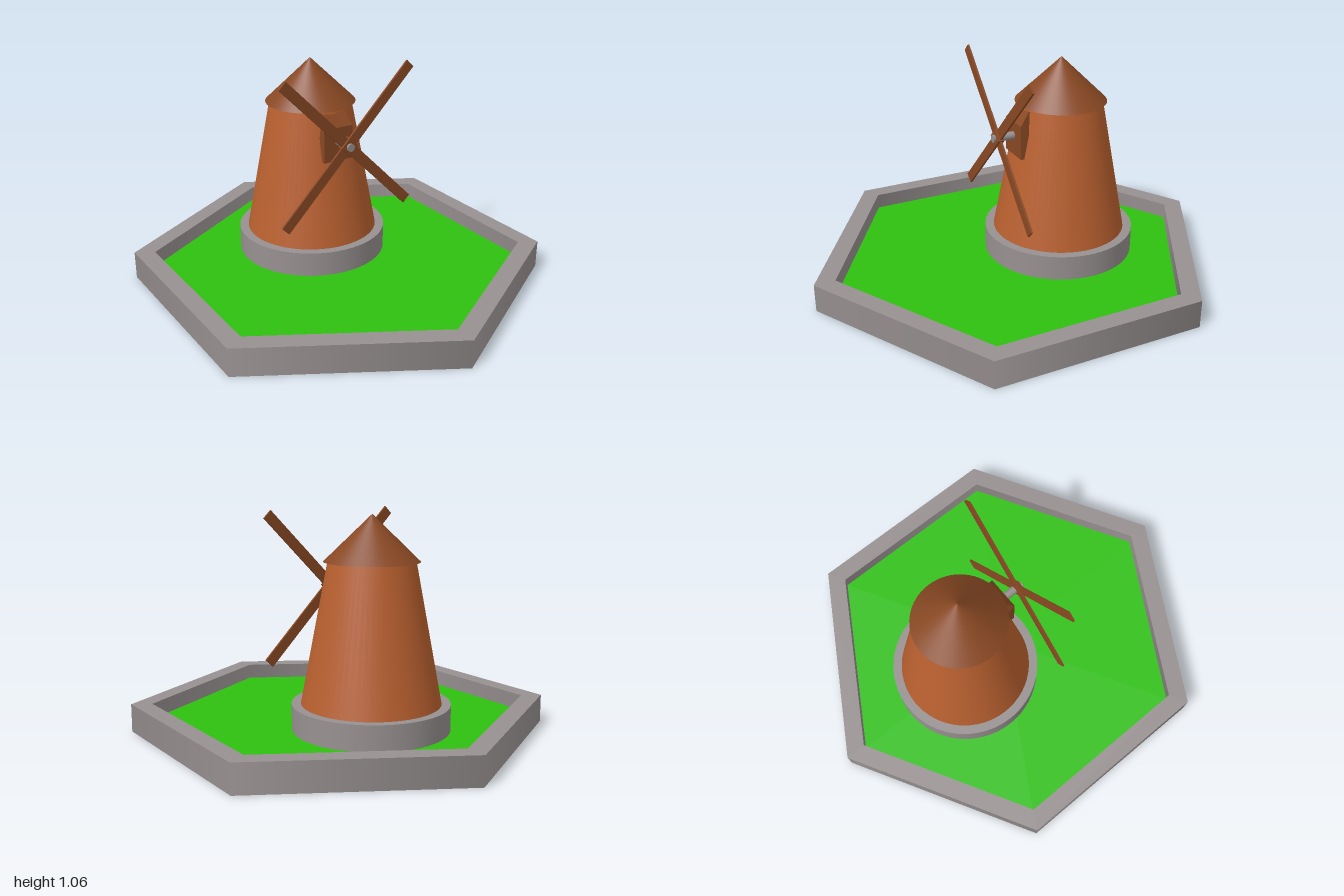
import * as THREE from 'three';

const paint = (name, color) => {
  const m = new THREE.MeshStandardMaterial({ color, side: THREE.DoubleSide });
  m.name = name;
  return m;
};

export function createModel() {
  const stone = paint('stone grey', 0x979090);
  const grassGreen = paint('grass green', 0x2fc010);
  const clay = paint('clay orange', 0xb9602f);
  const wood = paint('wood brown', 0x884823);
  const black = paint('underside black', 0x050505);

  const model = new THREE.Group();
  model.name = 'windmill';
  const add = (parent, name, geometry, material, x = 0, y = 0, z = 0) => {
    const mesh = new THREE.Mesh(geometry, material);
    mesh.name = name;
    mesh.position.set(x, y, z);
    parent.add(mesh);
    return mesh;
  };

  // Hexagonal tray: outer wall, flat rim, inner wall, recessed lawn, underside
  const H = 0.135, lawnY = 0.06, hexStart = Math.PI / 2;
  add(model, 'trayOuterWall', new THREE.CylinderGeometry(1, 1, H, 6, 1, true), stone, 0, H / 2, 0);
  add(model, 'trayRim', new THREE.RingGeometry(0.9, 1, 6, 1, hexStart).rotateX(-Math.PI / 2), stone, 0, H, 0);
  add(model, 'trayInnerWall', new THREE.CylinderGeometry(0.9, 0.9, H - lawnY, 6, 1, true), stone, 0, (H + lawnY) / 2, 0);
  add(model, 'lawn', new THREE.CircleGeometry(0.9, 6, hexStart).rotateX(-Math.PI / 2), grassGreen, 0, lawnY, 0);
  add(model, 'trayUnderside', new THREE.CircleGeometry(1, 6, hexStart).rotateX(Math.PI / 2), black);

  // Tower on its round plinth
  const mill = new THREE.Group();
  mill.name = 'mill';
  mill.position.z = -0.25;
  model.add(mill);
  add(mill, 'plinth', new THREE.CylinderGeometry(0.367, 0.367, 0.12, 64), stone, 0, 0.12, 0);
  add(mill, 'tower', new THREE.CylinderGeometry(0.2, 0.325, 0.66, 64), clay, 0, 0.505, 0);
  add(mill, 'roof', new THREE.ConeGeometry(0.22, 0.213, 64), wood, 0, 0.9385, 0);

  // Shaft housing: side profile (z, y) extruded across x, narrowed at the top
  const profile = new THREE.Shape([
    [-0.13, 0.595], [0, 0.595], [0, 0.76], [-0.05, 0.818], [-0.13, 0.818],
  ].map(([z, y]) => new THREE.Vector2(z, y)));
  const housing = new THREE.ExtrudeGeometry(profile, { depth: 0.16, bevelEnabled: false });
  housing.translate(0, 0, -0.08).rotateY(-Math.PI / 2);
  const p = housing.attributes.position;
  for (let i = 0; i < p.count; i++) {
    if (p.getY(i) > 0.8) p.setX(i, p.getX(i) * 0.75);
  }
  housing.computeVertexNormals();
  add(model, 'shaftHousing', housing, wood);

  // Shaft, hub and crossed sails
  const axleY = 0.692;
  add(model, 'shaft', new THREE.CylinderGeometry(0.019, 0.019, 0.126, 24).rotateX(Math.PI / 2), stone, 0, axleY, 0.045);
  const sails = new THREE.Group();
  sails.name = 'sails';
  sails.position.set(0, axleY, 0.082);
  sails.rotation.z = Math.PI / 4;
  model.add(sails);
  add(sails, 'hub', new THREE.BoxGeometry(0.064, 0.064, 0.03), wood);
  add(sails, 'sailA', new THREE.BoxGeometry(0.98, 0.05, 0.01), wood);
  add(sails, 'sailB', new THREE.BoxGeometry(0.05, 0.98, 0.01), wood);

  return model;
}
